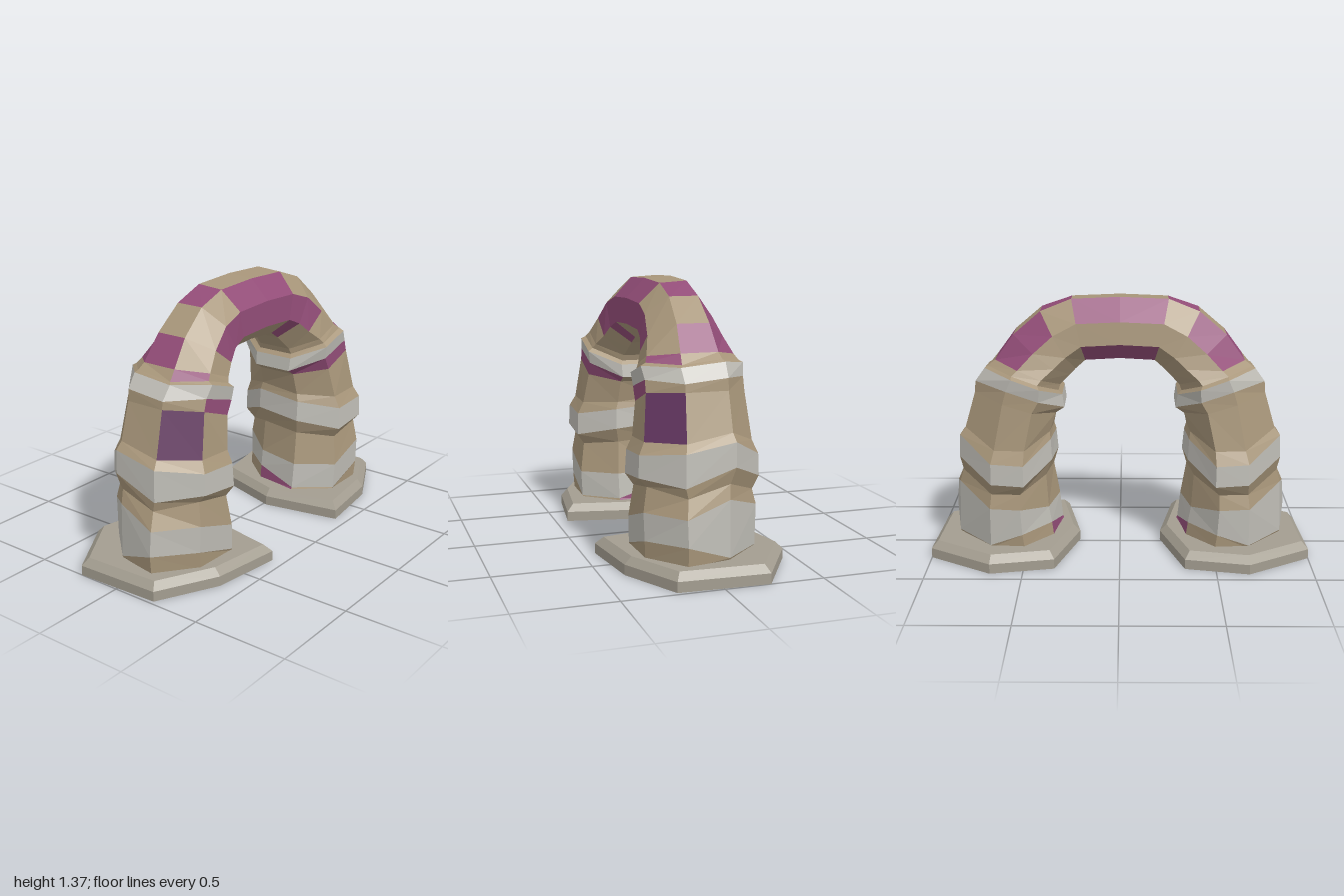
import * as THREE from 'three';
import { ConvexGeometry } from 'three/addons/geometries/ConvexGeometry.js';

const COLORS = { stone: 0xa8967a, patch: 0x934d78, darkPatch: 0x633560, band: 0xbfbdb6, plinth: 0xa39d90 };

function makeMesh(name, geometry, color) {
  const material = new THREE.MeshStandardMaterial({ color, flatShading: true });
  const mesh = new THREE.Mesh(geometry, material);
  mesh.name = name;
  return mesh;
}

// Half of the arch, foot to crown: outer x, y, inner x, y, half depth
const HALF = [
  [0.90, 0.08, 0.31, 0.08, 0.295],
  [0.91, 0.17, 0.32, 0.15, 0.30],
  [0.90, 0.34, 0.335, 0.25, 0.305],
  [0.86, 0.43, 0.365, 0.41, 0.285],
  [0.865, 0.49, 0.34, 0.48, 0.325],
  [0.855, 0.60, 0.35, 0.59, 0.32],
  [0.82, 0.66, 0.36, 0.64, 0.29],
  [0.755, 0.88, 0.335, 0.77, 0.265],
  [0.75, 0.94, 0.29, 0.80, 0.265],
  [0.70, 1.00, 0.30, 0.87, 0.275],
  [0.685, 1.01, 0.32, 0.89, 0.25],
  [0.645, 1.05, 0.31, 0.92, 0.235],
  [0.55, 1.18, 0.26, 0.97, 0.205],
  [0.41, 1.30, 0.23, 1.00, 0.185],
  [0.25, 1.36, 0.18, 1.04, 0.175],
  [0, 1.37, 0, 1.05, 0.175],
];

// Eight-sided section: [outer to inner fraction, depth factor]
const SECTION = [
  [0, 0.42], [0, -0.39], [0.37, -0.93], [0.73, -1.01], [1, -0.4], [1, 0.42], [0.72, 1], [0.3, 1],
];

// Rough outline of the feet: [x, z] shift of each corner, fading upwards
const FOOT = [
  [0, 0.02], [-0.045, 0.04], [-0.015, 0], [0.03, 0.01], [0.045, 0], [0, 0], [-0.015, 0.005], [-0.015, 0],
];
const FOOT_FADE = [1, 1, 1, 0.6, 0.4, 0.3, 0.2];

// Uneven courses: height offsets of the section corners, by ring
const LIFT = {
  1: [0.01, -0.07, -0.07, 0, 0.01, -0.05, -0.06, 0.01],
  2: [-0.03, 0.04, -0.01, 0.02, 0, -0.01, -0.04, 0],
  3: [-0.03, 0.02, -0.05, -0.04, 0.02, 0.01, -0.02, 0.01],
  4: [-0.04, 0.04, -0.05, -0.05, 0.04, 0.02, -0.03, -0.01],
  5: [0.01, 0.05, -0.05, -0.05, 0.04, 0.02, -0.02, -0.01],
  6: [-0.01, 0.03, -0.04, -0.03, 0.03, 0.01, -0.01, -0.01],
  7: [0, 0, 0.01, 0.01, 0, 0, 0, 0.02],
  8: [-0.02, 0, 0.03, 0.03, 0, 0, 0.03, 0.03],
  9: [-0.01, 0.01, 0.03, 0.03, 0, 0, 0.03, 0.03],
  10: [-0.01, 0.01, 0.03, 0.03, 0, 0, 0.03, 0.03],
  11: [0, 0, 0.02, 0.02, 0, 0, 0.02, 0.02],
};

// Sides carrying the coloured patches, by segment
// 0 outer, 1-3 back, 4 inner, 5-7 front
const PATCHES = {
  0: [4], 7: [5, 6], 10: [7], 11: [0, 1], 12: [1, 6], 13: [0, 5, 6], 14: [1, 3, 6, 7],
};
const BANDS = [1, 4, 8];

function sideKind(segment, side) {
  if (BANDS.includes(segment)) return 'band';
  if (segment === 6 && side === 7) return 'darkPatch';
  return PATCHES[segment]?.includes(side) ? 'patch' : 'stone';
}

function archRing(i) {
  const last = (HALF.length - 1) * 2;
  const k = Math.min(i, last - i);
  const side = i > HALF.length - 1 ? -1 : 1;
  const [ox, oy, ix, iy, depth] = HALF[k];
  const fade = FOOT_FADE[k] ?? 0;
  return SECTION.map(([t, w], j) => {
    const lift = LIFT[k]?.[j] ?? 0;
    const tilt = k > 13 ? -0.06 * w * depth : 0;
    return new THREE.Vector3(
      side * (ox + (ix - ox) * t + FOOT[j][0] * fade),
      oy + (iy - oy) * t + lift + tilt,
      w * depth + FOOT[j][1] * fade);
  });
}

function createArch() {
  const group = new THREE.Group();
  group.name = 'arch';
  const buckets = { stone: [], patch: [], darkPatch: [], band: [] };
  const segments = (HALF.length - 1) * 2;
  const n = SECTION.length;
  for (let i = 0; i < segments; i++) {
    const a = archRing(i), b = archRing(i + 1);
    const k = Math.min(i, segments - 1 - i);
    for (let j = 0; j < n; j++) {
      const m = (j + 1) % n;
      // the diagonal is mirrored on the far half
      const quad = i < segments / 2
        ? [a[j], a[m], b[m], a[j], b[m], b[j]]
        : [a[j], a[m], b[j], a[m], b[m], b[j]];
      buckets[sideKind(k, j)].push(...quad);
    }
  }
  const names = {
    stone: 'archStone', patch: 'colouredPatches', darkPatch: 'darkPatches', band: 'paleBands',
  };
  for (const kind in buckets) {
    const geometry = new THREE.BufferGeometry().setFromPoints(buckets[kind]);
    geometry.computeVertexNormals();
    group.add(makeMesh(names[kind], geometry, COLORS[kind]));
  }
  return group;
}

// Irregular seven-sided plinth with a bevelled top edge
function createPlinth(side) {
  const outline = [
    [0.67, -0.435], [1, -0.23], [0.98, 0.225], [0.67, 0.385], [0.30, 0.435], [0.22, 0.02], [0.34, -0.37],
  ];
  const points = [];
  for (const [y, s] of [[0, 1], [0.052, 1], [0.09, 0.91]]) {
    for (const [x, z] of outline) {
      points.push(new THREE.Vector3(side * (0.62 + (x - 0.62) * s), y, z * s));
    }
  }
  return makeMesh(side > 0 ? 'leftPlinth' : 'rightPlinth', new ConvexGeometry(points), COLORS.plinth);
}

export function createModel() {
  const model = new THREE.Group();
  model.name = 'stoneArch';
  model.add(createArch(), createPlinth(1), createPlinth(-1));
  return model;
}
